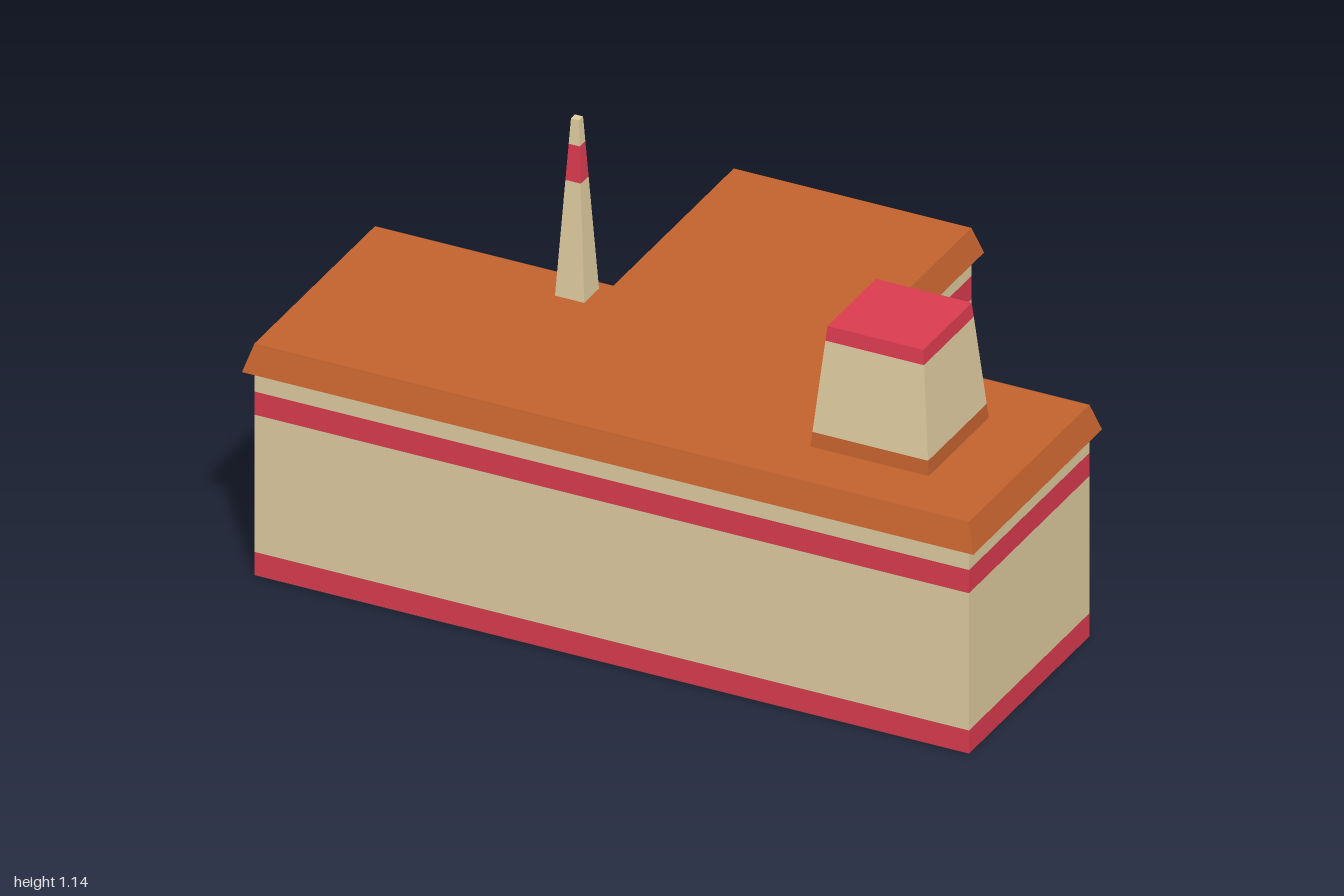
import * as THREE from 'three';

const material = (color) => new THREE.MeshStandardMaterial({ color, flatShading: true });
const TAN = material(0xe0cca0);
const RED = material(0xdc3c50);
const BROWN = material(0xc4622e);

// T-shaped plan grown outward by o, counter-clockwise seen from above, as [x, z]
function plan(o) {
  const main = 0.977 + o, wing = 0.325 + o, front = 0.65 + o, back = -o, rear = -0.65 - o;
  return [
    [-main, front], [main, front], [main, back], [wing, back],
    [wing, rear], [-wing, rear], [-wing, back], [-main, back],
  ];
}

// Square plan about a centre
function square(x, z, h) {
  return [[x - h, z + h], [x + h, z + h], [x + h, z - h], [x - h, z - h]];
}

// Skin between two outlines of equal count, with optional flat caps
function loft(name, mat, low, y0, high, y1, { top = false, bottom = false } = {}) {
  const pos = [];
  const put = ([x, z], y) => pos.push(x, y, z);
  low.forEach((a, i) => {
    const j = (i + 1) % low.length;
    put(a, y0); put(low[j], y0); put(high[j], y1);
    put(a, y0); put(high[j], y1); put(high[i], y1);
  });
  const cap = (ring, y, flip) => {
    const contour = ring.map(([x, z]) => new THREE.Vector2(x, -z));
    for (const [a, b, c] of THREE.ShapeUtils.triangulateShape(contour, [])) {
      for (const k of flip ? [a, c, b] : [a, b, c]) put(ring[k], y);
    }
  };
  if (top) cap(high, y1, false);
  if (bottom) cap(low, y0, true);
  const geometry = new THREE.BufferGeometry();
  geometry.setAttribute('position', new THREE.Float32BufferAttribute(pos, 3));
  geometry.computeVertexNormals();
  const mesh = new THREE.Mesh(geometry, mat);
  mesh.name = name;
  return mesh;
}

// Tapered square tower made of stacked coloured bands: [name, material, top y]
function taperedTower(name, x, z, halfLow, halfHigh, y0, bands) {
  const group = new THREE.Group();
  group.name = name;
  const yEnd = bands[bands.length - 1][2];
  const ring = (y) => square(x, z, THREE.MathUtils.mapLinear(y, y0, yEnd, halfLow, halfHigh));
  let y = y0;
  for (const [part, mat, top] of bands) {
    group.add(loft(part, mat, ring(y), y, ring(top), top, { top: top === yEnd }));
    y = top;
  }
  return group;
}

export function createModel() {
  const model = new THREE.Group();
  model.name = 'factory';
  const wall = plan(0), eave = plan(0.023);

  // Walls in horizontal bands, closed by a floor
  const walls = new THREE.Group();
  walls.name = 'walls';
  walls.add(
    loft('baseStripe', RED, wall, 0, wall, 0.065),
    loft('lowerWall', TAN, wall, 0.065, wall, 0.45),
    loft('upperStripe', RED, wall, 0.45, wall, 0.515),
    loft('upperWall', TAN, wall, 0.515, wall, 0.575),
  );
  const floor = new THREE.ShapeGeometry(
    new THREE.Shape(wall.map(([x, z]) => new THREE.Vector2(x, z))));
  floor.rotateX(Math.PI / 2);
  const floorMesh = new THREE.Mesh(floor, TAN);
  floorMesh.name = 'floor';
  walls.add(floorMesh);
  model.add(walls);

  // Overhanging roof with sloped edges
  model.add(
    loft('soffit', TAN, wall, 0.575, eave, 0.575),
    loft('roof', BROWN, eave, 0.575, wall, 0.65, { top: true }),
  );

  // Wide tower and slim chimney on the roof
  model.add(taperedTower('coolingTower', 0.625, 0.33, 0.162, 0.131, 0.65, [
    ['towerBase', BROWN, 0.69],
    ['towerBody', TAN, 0.94],
    ['towerRim', RED, 0.98],
  ]));
  model.add(taperedTower('chimney', -0.39, 0.068, 0.04, 0.011, 0.65, [
    ['chimneyShaft', TAN, 0.97],
    ['chimneyStripe', RED, 1.07],
    ['chimneyTip', TAN, 1.14],
  ]));
  return model;
}
